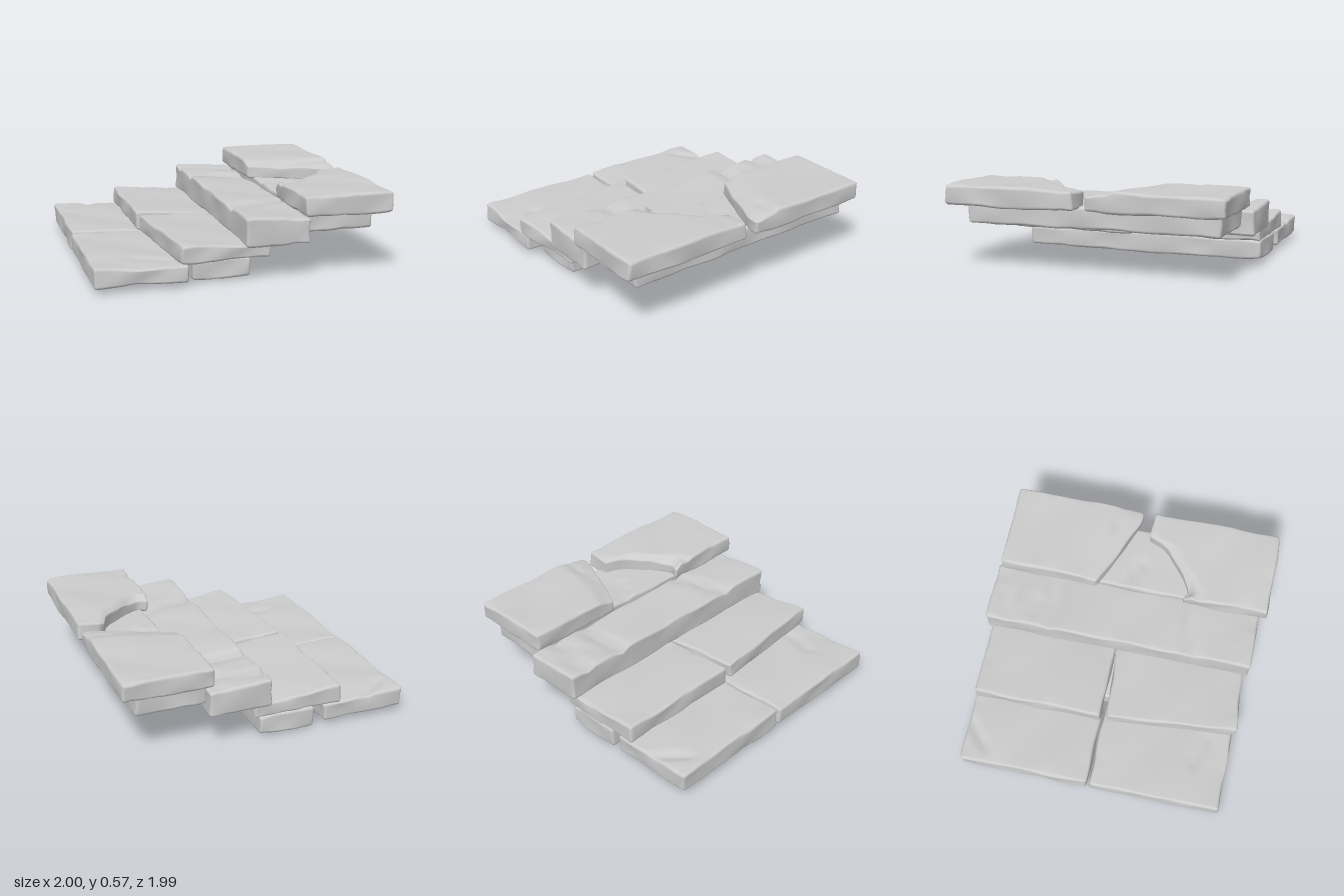
import * as THREE from 'three';
import { mergeVertices } from 'three/addons/utils/BufferGeometryUtils.js';

const { lerp, clamp, smoothstep } = THREE.MathUtils;
const material = new THREE.MeshStandardMaterial({ color: 0xcccccc, roughness: 0.9 });
const EDGE = 0.022; // radius of the worn edges

// Smooth, slightly ridged unevenness of hewn stone, about -1 to 1
function rough(a, b, seed) {
  return 0.45 * Math.sin(a * 5.1 + b * 3.3 + seed * 2.7)
    + 0.35 * Math.sin(b * 8.7 - a * 4.2 + seed * 5.1)
    + 0.5 * (Math.abs(Math.sin(a * 3.7 - b * 4.6 + seed)) - 0.6);
}

// Crowd three grid lines into both ends so the worn edges stay round
function spread(t, n, size) {
  const i = Math.round((t + 0.5) * n), k = Math.min(i, n - i);
  if (k < 3) return Math.sign(i - n / 2) * (size / 2 - EDGE * k / 3);
  return lerp(EDGE - size / 2, size / 2 - EDGE, (i - 3) / (n - 6));
}

// Block with rounded edges and enough vertices to shape
function roundedBlock(w, h, d) {
  const nx = 20, ny = 8, nz = 36;
  const box = new THREE.BoxGeometry(1, 1, 1, nx, ny, nz);
  box.deleteAttribute('uv');
  box.deleteAttribute('normal');
  box.clearGroups();
  const geo = mergeVertices(box), pos = geo.attributes.position;
  const half = new THREE.Vector3(w, h, d).multiplyScalar(0.5).subScalar(EDGE);
  const low = half.clone().negate();
  const p = new THREE.Vector3(), inner = new THREE.Vector3();
  for (let i = 0; i < pos.count; i++) {
    p.fromBufferAttribute(pos, i);
    p.set(spread(p.x, nx, w), spread(p.y, ny, h), spread(p.z, nz, d));
    inner.copy(p).clamp(low, half);
    p.sub(inner).clampLength(0, EDGE).add(inner);
    pos.setXYZ(i, p.x, p.y, p.z);
  }
  return geo;
}

// Depth of a groove from (x1, z1) to (x2, z2) at the point (x, z)
function grooveDepth(x, z, [x1, z1, x2, z2, depth]) {
  const dx = x2 - x1, dz = z2 - z1;
  const t = clamp(((x - x1) * dx + (z - z1) * dz) / (dx * dx + dz * dz), 0, 1);
  return depth * (1 - smoothstep(Math.hypot(x - x1 - t * dx, z - z1 - t * dz), 0, 0.06));
}

/* One stone slab between the given limits. Options:
   drop: how far the top falls toward +x;  skew: shift of the left-hand edge at the front
   back, front: z of a broken end, from the position 0..1 across
   chip: wear of the top at (across, along);  grooves: [x1, z1, x2, z2, depth] in the top */
function slab(name, seed, [x0, x1], [y0, y1], [z0, z1], options = {}) {
  const { drop = 0, skew = 0, back = () => z0, front = () => z1, chip = () => 0, grooves = [] } = options;
  const w = x1 - x0, h = y1 - y0, d = z1 - z0;
  const geo = roundedBlock(w, h, d), pos = geo.attributes.position;
  for (let i = 0; i < pos.count; i++) {
    // Fit the block to the outline
    const [u, t, v] = [pos.getX(i) / w, pos.getY(i) / h, pos.getZ(i) / d].map((c) => clamp(c + 0.5, 0, 1));
    const x = lerp(x0 + skew * v, x1, u), z = lerp(back(u), front(u), v);
    let y = lerp(y0, y1 - drop * u, t);

    // Hewn faces, knocked rims, grooves and chips
    const du = (2 * u - 1) ** 5, dv = (2 * v - 1) ** 5, dt = 2 * t - 1;
    const rim = Math.max(Math.abs(du), Math.abs(dv));
    y += dt * 0.008 * rough(x * 1.3, z * 1.2, seed);
    y -= dt * rim * 0.009 * Math.max(0, rough(z * 4, x * 4, seed));
    const cut = grooves.reduce((sum, g) => sum + grooveDepth(x, z, g), chip(u, v));
    y -= Math.max(0, dt) * cut;
    pos.setXYZ(i,
      x + du * 0.007 * (rough(z * 2.3, y * 5, seed) - 0.5), y,
      z + dv * 0.008 * (rough(x * 2.6, y * 5, seed + 3) - 0.5));
  }
  geo.computeVertexNormals();
  const mesh = new THREE.Mesh(geo, material);
  mesh.name = name;
  return mesh;
}

export function createModel() {
  const group = new THREE.Group();
  group.name = 'stoneSteps';
  group.add(
    // Lowest step and the support beside it
    slab('lowestSlabBack', 1, [-1, -0.4], [0.035, 0.18], [-0.96, -0.035],
      { drop: 0.025, grooves: [[-0.88, -0.8, -0.73, -0.94, 0.018]] }),
    slab('lowestSlabFront', 2, [-1, -0.375], [0.035, 0.172], [-0.025, 0.91],
      { drop: 0.028, grooves: [[-0.7, 0.67, -0.48, 0.74, 0.015]] }),
    slab('lowerSupport', 3, [-0.34, 0.06], [0.009, 0.153], [-0.95, 0.82]),

    // Second step
    slab('secondSlabBack', 4, [-0.53, 0.1], [0.152, 0.29], [-0.96, -0.035], { drop: 0.045 }),
    slab('secondSlabFront', 5, [-0.525, 0.17], [0.157, 0.288], [0, 0.93], {
      drop: 0.045,
      skew: 0.085,
      back: (u) => 0.005 - 0.05 * u,
      front: (u) => 0.935 - 0.045 * u,
    }),

    // Third step in one long slab, with the support beside it
    slab('thirdSlab', 6, [-0.01, 0.427], [0.243, 0.433], [-0.995, 0.942], {
      drop: 0.02,
      grooves: [
        [0, -0.86, 0.4, -0.77, 0.03],
        [0, -0.55, 0.4, -0.5, 0.04],
        [0.08, -0.68, 0.2, -0.64, 0.015],
        [0, 0.52, 0.42, 0.41, 0.028],
      ],
    }),
    slab('upperSupport', 7, [0.41, 0.89], [0.3, 0.45], [-0.91, 0.87],
      { grooves: [[0.42, -0.1, 0.62, 0.02, 0.02]] }),

    // Top step, broken across the middle
    slab('topSlabBack', 8, [0.375, 0.99], [0.433, 0.567], [-0.962, -0.03], {
      front: (u) => -0.25 + 0.225 * Math.min(1, u / 0.86),
      chip: (u, v) => 0.03 * smoothstep(v, 0.78, 1),
      grooves: [[0.82, -0.2, 1, -0.17, 0.015]],
    }),
    slab('topSlabFront', 9, [0.37, 0.99], [0.427, 0.564], [0.05, 0.987], {
      back: (u) => 0.38 - 0.2 * smoothstep(u, 0.15, 0.68) - 0.13 * smoothstep(u, 0.61, 0.68)
        + 0.03 * Math.exp(-(((u - 0.12) / 0.05) ** 2)),
      chip: (u, v) => 0.05 * (1 - u) * (1 - smoothstep(v, 0, 0.1)),
      grooves: [[0.38, 0.5, 0.5, 0.42, 0.015]],
    }),
  );
  return group;
}
